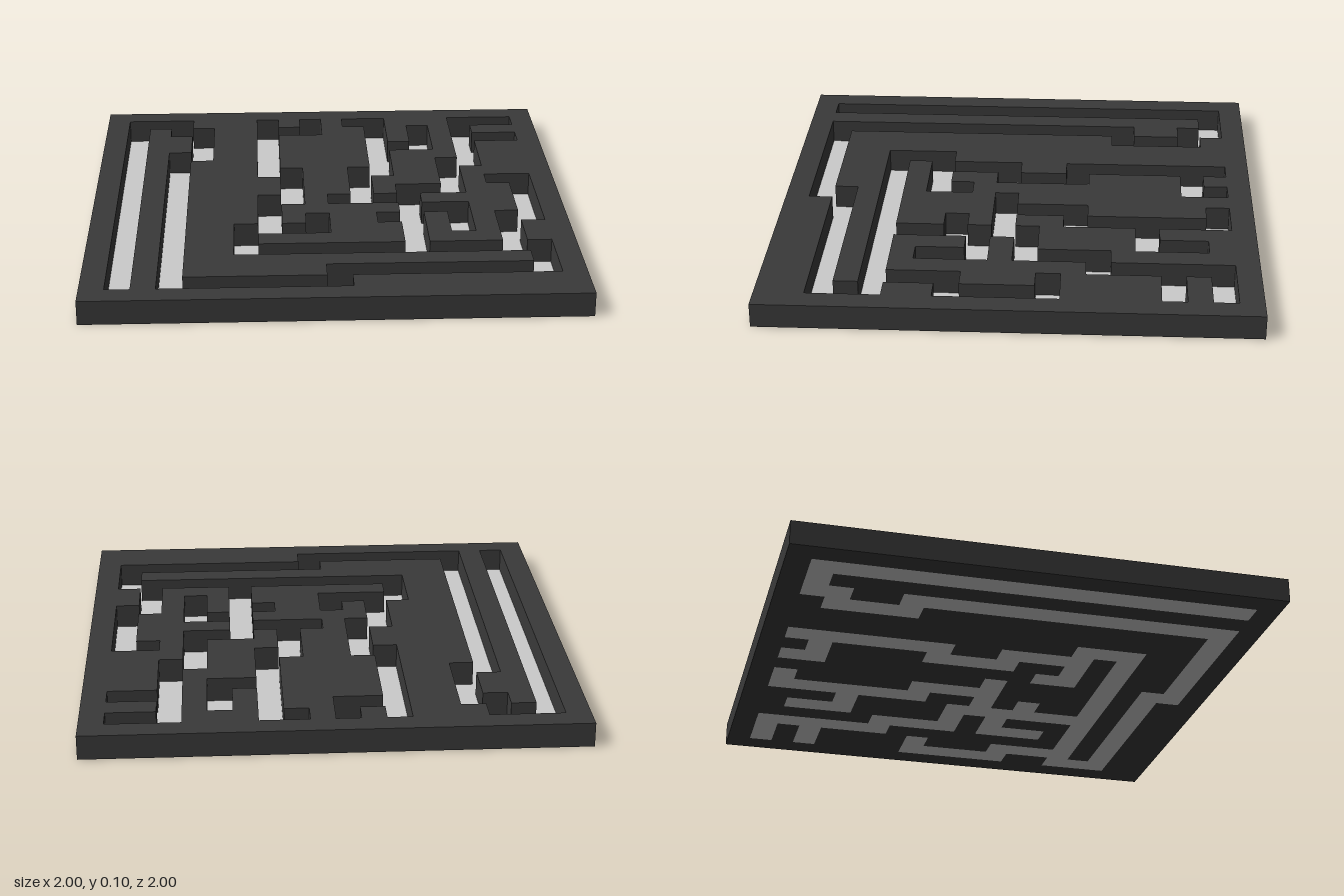
import * as THREE from 'three';

const UNIT = 0.1;      // corridor width
const HEIGHT = 0.1;    // wall height

// Corridor runs: each point is the min corner [x, z] of a one-unit cell
const RUNS = [
  [[-9, 8], [-9, -9], [-7, -9], [-7, -8], [-6, -8], [-6, -5], [-7, -5], [-7, 8],
    [-0.3, 8], [-0.3, 7], [8, 7], [8, 5], [-4, 5], [-4, 3], [-1, 3], [-1, 2]],
  [[-3, 3], [-3, 0], [-2, 0], [-2, -3], [-3, -3], [-3, -9]],
  [[-3, -8], [-1, -8], [-1, -9]],
  [[3, 5], [3, -1], [5, -1], [5, -4], [6, -4], [6, -9], [8, -9]],
  [[6, -7], [8, -7]],
  [[3, 1], [5, 1], [5, 3]],
  [[2, 2], [3, 2]],
  [[3, 0], [0, 0]],
  [[1, 0], [1, -3], [2, -3], [2, -9], [1, -9]],
  [[2, -6], [4, -6], [4, -8]],
  [[7, 5], [7, 2], [8, 2], [8, -2], [7, -2]],
];

// Every straight stretch of a run becomes a carved rectangle
const carved = RUNS.flatMap((run) => run.slice(1).map(([x, z], i) => {
  const [px, pz] = run[i];
  return { x0: Math.min(x, px), x1: Math.max(x, px) + 1, z0: Math.min(z, pz), z1: Math.max(z, pz) + 1 };
}));

// Grid lines; two extra columns hold the half-step bend near the front
const zLines = Array.from({ length: 21 }, (_, i) => i - 10);
const xLines = [...zLines, -0.3, 0.7].sort((a, b) => a - b);

function isOpen(i, j) {
  if (i < 0 || j < 0 || i >= xLines.length - 1 || j >= zLines.length - 1) return true;
  const x = (xLines[i] + xLines[i + 1]) / 2;
  const z = (zLines[j] + zLines[j + 1]) / 2;
  return carved.some((r) => x > r.x0 && x < r.x1 && z > r.z0 && z < r.z1);
}

// Collects quads, corners counter-clockwise as seen from the front
function quadSet() {
  const points = [];
  return {
    add(a, b, c, d) { points.push(...a, ...b, ...c, ...a, ...c, ...d); },
    build() {
      const geometry = new THREE.BufferGeometry();
      geometry.setAttribute('position', new THREE.Float32BufferAttribute(points, 3));
      geometry.computeVertexNormals();
      return geometry;
    },
  };
}

export function createModel() {
  const walls = quadSet();
  const floor = quadSet();
  const level = (set, x0, x1, z0, z1, y) =>
    set.add([x0, y, z0], [x0, y, z1], [x1, y, z1], [x1, y, z0]);
  const upright = (ax, az, bx, bz) =>
    walls.add([ax, 0, az], [ax, HEIGHT, az], [bx, HEIGHT, bz], [bx, 0, bz]);

  for (let i = 0; i < xLines.length - 1; i++) {
    for (let j = 0; j < zLines.length - 1; j++) {
      const x0 = xLines[i] * UNIT, x1 = xLines[i + 1] * UNIT;
      const z0 = zLines[j] * UNIT, z1 = zLines[j + 1] * UNIT;
      if (isOpen(i, j)) {
        level(floor, x0, x1, z0, z1, 0);
        continue;
      }
      // Top and underside of the solid block, then its exposed sides
      level(walls, x0, x1, z0, z1, HEIGHT);
      level(walls, x1, x0, z0, z1, 0);
      if (isOpen(i + 1, j)) upright(x1, z0, x1, z1);
      if (isOpen(i - 1, j)) upright(x0, z1, x0, z0);
      if (isOpen(i, j + 1)) upright(x1, z1, x0, z1);
      if (isOpen(i, j - 1)) upright(x0, z0, x1, z0);
    }
  }

  const model = new THREE.Group();
  model.name = 'maze';

  const wallMesh = new THREE.Mesh(walls.build(), new THREE.MeshStandardMaterial({ color: 0x3a3a3a }));
  wallMesh.name = 'mazeWalls';

  // Thin light floor at the bottom of the corridors
  const floorMesh = new THREE.Mesh(
    floor.build(),
    new THREE.MeshStandardMaterial({ color: 0xcccccc, side: THREE.DoubleSide }),
  );
  floorMesh.name = 'corridorFloor';

  model.add(wallMesh, floorMesh);
  return model;
}
